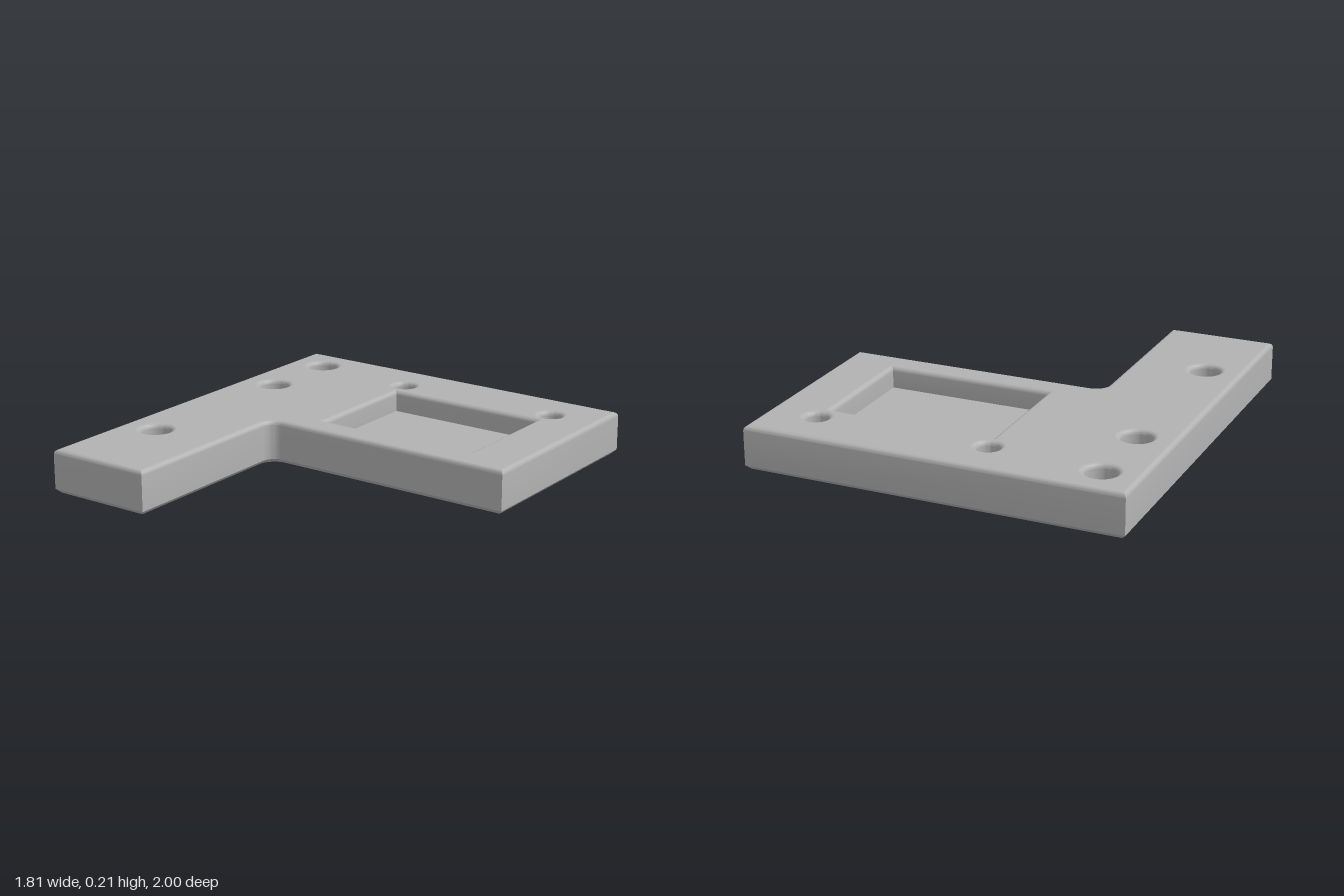
import * as THREE from 'three';
import { toCreasedNormals } from 'three/addons/utils/BufferGeometryUtils.js';

const H = 0.21, FILLET = 0.023, CHAMFER = 0.02, FLOOR = 0.105, SEG = 48;
const BIG = { r: 0.072, bore: 0.12 }, SMALL = { r: 0.053, bore: 0.095 };
const HOLES = [
  { x: -0.725, z: -0.82, ...BIG }, { x: -0.725, z: -0.405, ...BIG }, { x: -0.725, z: 0.5, ...BIG },
  { x: -0.18, z: -0.77, ...SMALL }, { x: 0.663, z: -0.77, ...SMALL },
];

// L-shaped outline as [x, z], moved inwards by t, with a rounded inner corner
function outline(t) {
  const r = 0.065, cx = -0.378 + r, cz = 0.07 + r, pts = [[-0.905 + t, 1 - t], [-0.378 - t, 1 - t]];
  for (let i = 0; i <= 10; i++) {
    const a = (i / 10) * Math.PI / 2;
    pts.push([cx - (r + t) * Math.cos(a), cz - (r + t) * Math.sin(a)]);
  }
  pts.push([0.905 - t, 0.07 - t], [0.905 - t, -1 + t], [-0.905 + t, -1 + t]);
  return pts;
}

// Pocket rectangle grown by t
function pocketRect(t) {
  const x0 = -0.158 - t, x1 = 0.647 + t, z0 = -0.666 - t, z1 = -0.067 + t;
  return [[x0, z1], [x0, z0], [x1, z0], [x1, z1]];
}

function circle(x, z, r) {
  return Array.from({ length: SEG }, (_, i) => {
    const a = (i / SEG) * Math.PI * 2;
    return [x + r * Math.sin(a), z + r * Math.cos(a)];
  });
}

// Rounded upper edge: [inset, y] from the wall to the top face
const filletSteps = Array.from({ length: 7 }, (_, i) => {
  const a = (i / 6) * Math.PI / 2;
  return [FILLET * (1 - Math.cos(a)), H - FILLET + FILLET * Math.sin(a)];
});

// Skin over stacked closed loops of [x, z] at rising heights
function loft(rows) {
  const n = rows[0].pts.length, pos = [], idx = [];
  rows.forEach(({ pts, y }) => pts.forEach(([x, z]) => pos.push(x, y, z)));
  for (let j = 0; j < rows.length - 1; j++) {
    for (let i = 0; i < n; i++) {
      const a = j * n + i, b = j * n + (i + 1) % n;
      idx.push(a, b, b + n, a, b + n, a + n);
    }
  }
  const g = new THREE.BufferGeometry();
  g.setAttribute('position', new THREE.Float32BufferAttribute(pos, 3));
  g.setIndex(idx);
  return toCreasedNormals(g, 0.5);
}

// Flat face with cut-outs, looking up or down
function flatFace(pts, cuts, y, up) {
  const s = up ? -1 : 1;
  const to2 = (list) => list.map(([x, z]) => new THREE.Vector2(x, s * z));
  const shape = new THREE.Shape(to2(pts));
  shape.holes = cuts.map((c) => new THREE.Path(to2(c)));
  return new THREE.ShapeGeometry(shape).rotateX(s * Math.PI / 2).translate(0, y, 0);
}

export function createModel() {
  const group = new THREE.Group();
  const grey = new THREE.MeshStandardMaterial({ color: 0xb2b2b2 });
  grey.name = 'grey';
  const add = (name, geometry) => {
    const mesh = new THREE.Mesh(geometry, grey);
    mesh.name = name;
    group.add(mesh);
    return mesh;
  };

  // Plate: chamfered below, rounded above
  add('plateSides', loft([
    { pts: outline(CHAMFER), y: 0 },
    { pts: outline(0), y: CHAMFER },
    ...filletSteps.map(([t, y]) => ({ pts: outline(t), y })),
  ]));
  add('plateTop', flatFace(outline(FILLET),
    [pocketRect(FILLET), ...HOLES.map((h) => circle(h.x, h.z, h.r + FILLET))], H, true));
  add('plateBottom', flatFace(outline(CHAMFER),
    HOLES.map((h) => circle(h.x, h.z, h.bore + CHAMFER)), 0, false));

  // Rectangular pocket
  add('pocketWalls', loft([
    { pts: pocketRect(0), y: FLOOR },
    ...filletSteps.map(([t, y]) => ({ pts: pocketRect(t), y })),
  ]));
  add('pocketFloor', flatFace(pocketRect(0), [], FLOOR, true));

  // Through holes, counterbored from below
  HOLES.forEach((h) => {
    const profile = [
      ...filletSteps.map(([t, y]) => [h.r + t, y]).reverse(),
      [h.r, FLOOR], [h.bore, FLOOR], [h.bore, CHAMFER], [h.bore + CHAMFER, 0],
    ].map(([r, y]) => new THREE.Vector2(r, y));
    add('screwHole', toCreasedNormals(new THREE.LatheGeometry(profile, SEG), 0.5))
      .position.set(h.x, 0, h.z);
  });
  return group;
}
